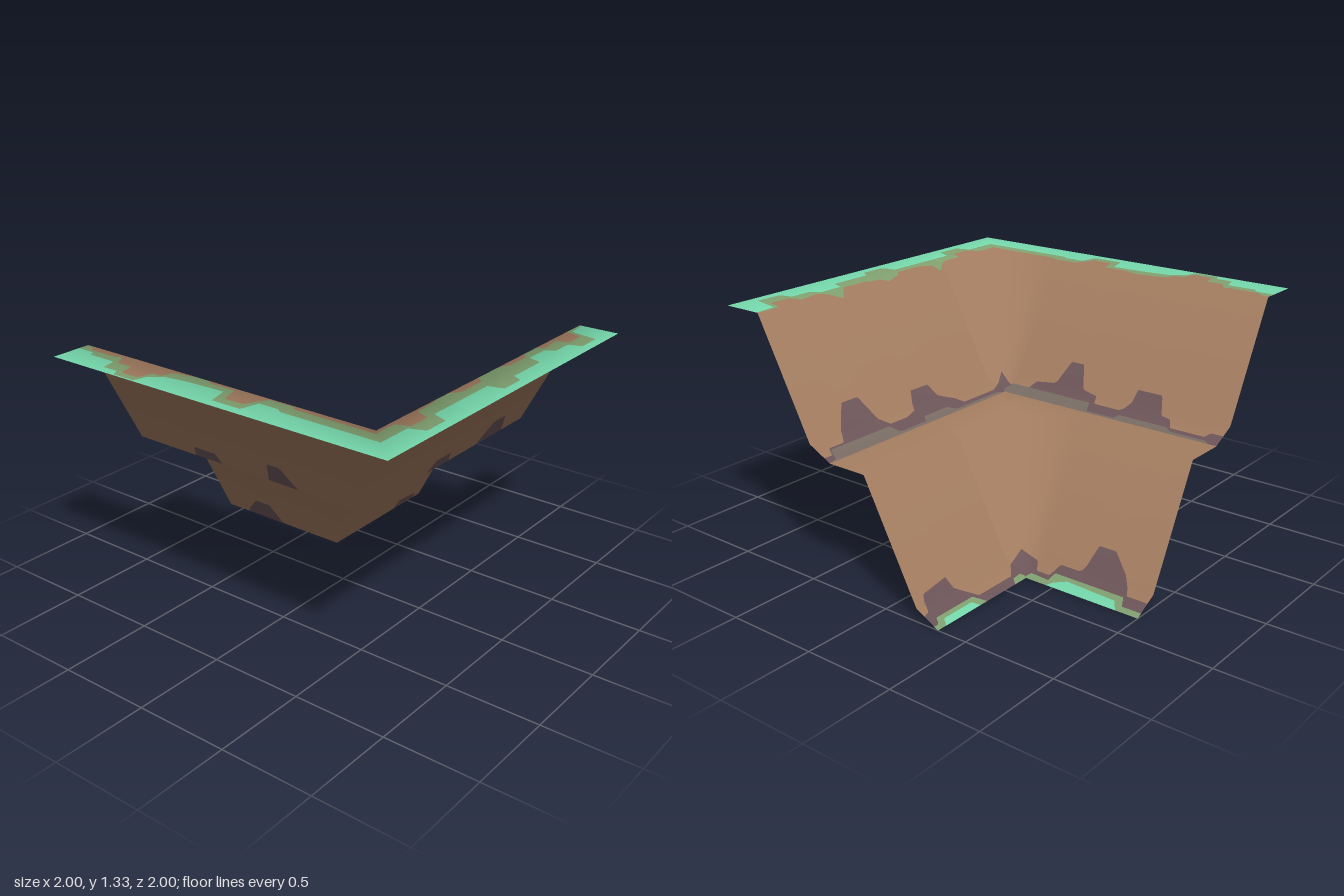
import * as THREE from 'three';

// Cliff section: [distance s from the inner corner side, height y]
const PROFILE = [[-0.333, 0], [-0.2, 0.07], [0.11, 0.667], [0.333, 0.667], [0.467, 0.733], [0.78, 1.333], [1, 1.333]];

// Band edges along each wall as [position along wall, s] points
const WALLS = {
  backFacingWall: {
    lowTurf: [-1, -.333, -.87, -.333, -.84, -.29, -.55, -.28, -.48, -.31, -.46, -.333],
    lowFringe: [-1, -.305, -.89, -.305, -.87, -.26, -.46, -.26, -.45, -.305, -.34, -.3, -.32, -.333],
    lowDark: [-1, -.25, -.88, -.25, -.86, -.21, -.83, -.18, -.79, -.16, -.74, -.135, -.64, -.135, -.6, -.19, -.57, -.21,
      -.46, -.21, -.44, -.28, -.36, -.28, -.33, -.23, -.2, -.2],
    ledgeGrey: [-1, .335, -.95, .335, -.93, .35, -.72, .35, -.69, .37, -.4, .37, -.38, .345, -.21, .345, -.19, .4, .33, .4, .36, .335],
    ledgeDark: [-1, .4, -.93, .4, -.91, .37, -.71, .37, -.68, .42, -.62, .43, -.58, .5, -.43, .5, -.4, .42, -.38, .4,
      -.22, .4, -.2, .45, -.1, .47, -.06, .53, .02, .53, .08, .47, .2, .45, .22, .385, .32, .385, .36, .4, .46, .46],
    topFringe: [-1, .79, -.95, .79, -.93, .82, -.76, .82, -.74, .8, -.72, .82, -.69, .87, -.6, .87, -.58, .95, -.47, .95, -.45, .87,
      -.4, .87, -.38, .81, -.26, .78, -.18, .78, -.15, .8, .0, .8, .03, .9, .14, .9, .16, .86, .2, .79, .34, .79, .36, .81, .79, .81],
    topTurf: [-1, .84, -.9, .84, -.88, .87, -.72, .87, -.7, .95, -.61, .95, -.59, .99, -.46, .99, -.44, .92, -.38, .87, -.25, .85,
      -.03, .84, 0, .95, .17, .95, .19, .85, .3, .85, .33, .87, .87, .87],
  },
  sideFacingWall: {
    lowTurf: [-1, -.333, -.94, -.333, -.92, -.3, -.72, -.3, -.69, -.333],
    lowFringe: [-1, -.31, -.97, -.31, -.95, -.28, -.69, -.28, -.66, -.31, -.64, -.333, -.42, -.333, -.4, -.305, -.34, -.3, -.32, -.333],
    lowDark: [-1, -.25, -.96, -.24, -.93, -.18, -.76, -.17, -.72, -.22, -.68, -.26, -.65, -.29, -.4, -.29, -.34, -.24, -.2, -.2],
    ledgeGrey: [-1, .335, -.95, .345, -.93, .4, -.52, .4, -.49, .35, -.3, .35, -.28, .38, -.1, .38, -.06, .35, .28, .35, .33, .335],
    ledgeDark: [-1, .37, -.95, .37, -.93, .41, -.83, .41, -.78, .48, -.72, .53, -.61, .53, -.54, .47, -.5, .41, -.38, .41,
      -.3, .43, -.25, .5, -.12, .5, -.06, .45, 0, .41, .03, .37, .28, .37, .36, .4, .46, .46],
    topFringe: [-1, .78, -.86, .78, -.84, .87, -.72, .87, -.7, .8, -.58, .82, -.55, .78, -.45, .76, -.4, .81, -.25, .81, -.22, .79,
      -.1, .77, -.02, .78, .02, .82, .18, .82, .22, .79, .3, .76, .36, .79, .5, .8, .53, .87, .65, .87, .68, .8, .79, .8],
    topTurf: [-1, .79, -.88, .8, -.85, .95, -.71, .95, -.69, .88, -.57, .88, -.54, .83, -.4, .83, -.38, .9, -.14, .9, -.11, .95,
      .03, .95, .05, .87, .35, .87, .48, .87, .51, .95, .65, .95, .68, .87, .87, .87],
  },
};

// Linear lookup in a flat list of pairs
function lookup(list, t) {
  for (let i = 2; i < list.length; i += 2) {
    if (t <= list[i]) {
      const k = (t - list[i - 2]) / (list[i] - list[i - 2]);
      return list[i - 1] + (list[i + 1] - list[i - 1]) * Math.max(k, 0);
    }
  }
  return list[list.length - 1];
}

const heights = PROFILE.flat();

// Smoothed section normals, as flat lists of [s, outward] and [s, up]
const leans = [], ups = [];
PROFILE.forEach((p, i) => {
  const n = new THREE.Vector2();
  for (const j of [i - 1, i]) {
    if (j < 0 || j > PROFILE.length - 2) continue;
    const [a, b] = [PROFILE[j], PROFILE[j + 1]];
    n.add(new THREE.Vector2(a[1] - b[1], b[0] - a[0]).normalize());
  }
  n.normalize();
  leans.push(p[0], n.x);
  ups.push(p[0], n.y);
});

// Band edges at one position, from the foot up to the rim
function edgesAt(wall, t) {
  const names = ['lowTurf', 'lowFringe', 'lowDark', null, 'ledgeGrey', 'ledgeDark', 'topFringe', 'topTurf'];
  const edges = [-0.333];
  for (const n of names) edges.push(Math.max(edges[edges.length - 1], n ? lookup(wall[n], t) : 0.335));
  edges.push(1);
  return edges;
}
const BAND_COLOURS = ['turf', 'fringe', 'darkRock', 'rock', 'greyRock', 'darkRock', 'rock', 'fringe', 'turf'];

// One wall, mitred on the diagonal, split into a mesh for each colour
function buildWall(name, swap, materials) {
  const wall = WALLS[name], buckets = {};
  const group = new THREE.Group();
  group.name = name;
  const push = (bucket, [t, s]) => {
    const y = lookup(heights, s), lean = lookup(leans, s), up = lookup(ups, s);
    // turn the normals towards the diagonal inside the corner
    const start = s < 0.22 ? -0.333 : 0.333;
    const k = swap ? (t > start + 0.001 ? 1 : 0) : THREE.MathUtils.clamp((t - start) / Math.max(s - start, 0.01), 0, 1);
    const angle = k * Math.PI / 4;
    const along = lean * Math.sin(angle), out = lean * Math.cos(angle);
    bucket.pos.push(...(swap ? [s, y, t] : [t, y, s]));
    bucket.nor.push(...(swap ? [out, up, along] : [along, up, out]));
  };
  const columns = 240;
  for (let c = 0; c < columns; c++) {
    const t0 = -1 + 2 * c / columns, t1 = -1 + 2 * (c + 1) / columns;
    const e0 = edgesAt(wall, t0), e1 = edgesAt(wall, t1);
    BAND_COLOURS.forEach((colour, b) => {
      const bucket = buckets[colour] ??= { pos: [], nor: [] };
      for (let i = 0; i < PROFILE.length - 1; i++) {
        const at = (t, s) => [t, Math.max(t, THREE.MathUtils.clamp(s, PROFILE[i][0], PROFILE[i + 1][0]))];
        const A = at(t0, e0[b]), B = at(t0, e0[b + 1]), C = at(t1, e1[b + 1]), D = at(t1, e1[b]);
        const left = B[1] - A[1] > 1e-5, right = C[1] - D[1] > 1e-5;
        const tris = [];
        if (left) tris.push([A, B, C]);
        if (right) tris.push([A, C, D]);
        for (const [p, q, r] of tris) for (const v of swap ? [p, r, q] : [p, q, r]) push(bucket, v);
      }
    });
  }
  for (const [colour, { pos, nor }] of Object.entries(buckets)) {
    const geometry = new THREE.BufferGeometry();
    geometry.setAttribute('position', new THREE.Float32BufferAttribute(pos, 3));
    geometry.setAttribute('normal', new THREE.Float32BufferAttribute(nor, 3));
    const mesh = new THREE.Mesh(geometry, materials[colour]);
    mesh.name = name + ' ' + colour;
    group.add(mesh);
  }
  return group;
}

export function createModel() {
  const colours = { turf: 0x74d6aa, fringe: 0x7f9f6f, rock: 0xa07a5e, darkRock: 0x6b5458, greyRock: 0x776b62 };
  const materials = {};
  for (const [name, color] of Object.entries(colours)) {
    materials[name] = new THREE.MeshStandardMaterial({ color, side: THREE.DoubleSide });
    materials[name].name = name;
  }
  const model = new THREE.Group();
  model.name = 'cliffCorner';
  model.add(buildWall('backFacingWall', false, materials), buildWall('sideFacingWall', true, materials));
  return model;
}
